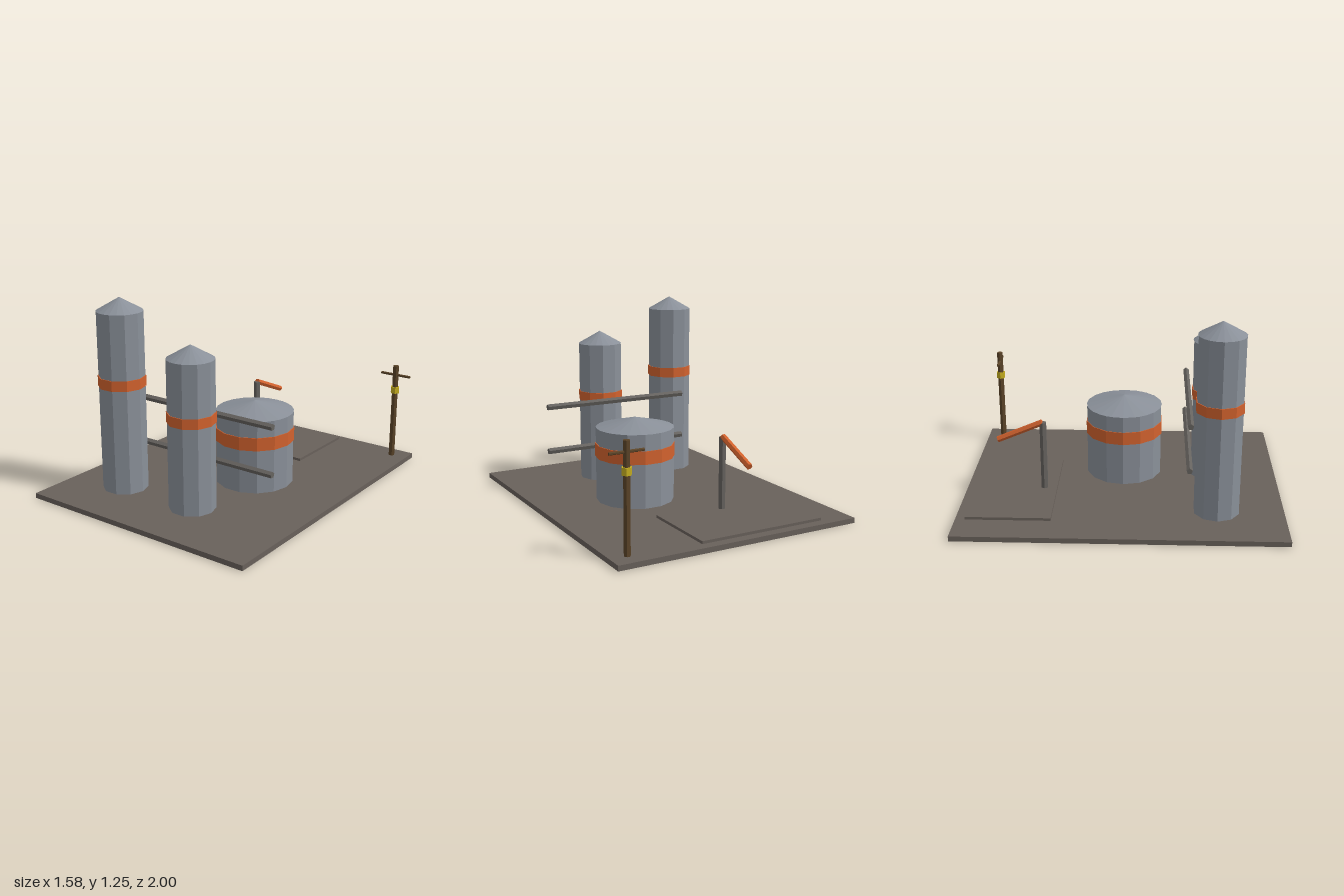
import * as THREE from 'three';

const paint = (name, color) => {
  const m = new THREE.MeshStandardMaterial({ color, flatShading: true });
  m.name = name;
  return m;
};

export function createModel() {
  const ground = paint('ground brown', 0x69615b);
  const steel = paint('steel grey', 0x8a9099);
  const orange = paint('safety orange', 0xd2622e);
  const iron = paint('dark iron', 0x66635f);
  const wood = paint('pole brown', 0x5b4428);
  const yellow = paint('lamp yellow', 0xc8b020);

  const model = new THREE.Group();
  model.name = 'industrialYard';

  const add = (parent, name, geometry, material, x, y, z) => {
    const mesh = new THREE.Mesh(geometry, material);
    mesh.name = name;
    mesh.position.set(x, y, z);
    parent.add(mesh);
    return mesh;
  };
  // box standing from y0 to y1
  const slab = (name, material, w, d, x, z, y0, y1) =>
    add(model, name, new THREE.BoxGeometry(w, y1 - y0, d), material, x, (y0 + y1) / 2, z);
  // upright prism from y0 to y1 with one corner towards +x
  const column = (parent, name, material, r, sides, x, z, y0, y1, rTop = r) =>
    add(parent, name, new THREE.CylinderGeometry(rTop, r, y1 - y0, sides).rotateY(Math.PI / 2),
      material, x, (y0 + y1) / 2, z);
  // rod between two points
  const rod = (name, material, r, sides, from, to) => {
    const a = new THREE.Vector3(...from), b = new THREE.Vector3(...to);
    const dir = b.clone().sub(a);
    const mesh = add(model, name,
      new THREE.CylinderGeometry(r, r, dir.length(), sides).rotateY(Math.PI / 2), material, 0, 0, 0);
    mesh.position.copy(a).add(b).multiplyScalar(0.5);
    mesh.quaternion.setFromUnitVectors(new THREE.Vector3(0, 1, 0), dir.normalize());
    return mesh;
  };

  // yard slab and the pump's footing
  slab('groundSlab', ground, 1.58, 2, 0, 0, 0.001, 0.033);
  slab('pumpFooting', ground, 0.827, 0.52, -0.171, -0.68, 0.03, 0.05);

  // storage vessels: body, orange band and conical roof
  const vessels = [
    { name: 'tallTower', x: -0.418, z: 0.583, r: 0.143, sides: 10, top: 1.165, apex: 1.247, band: [0.698, 0.763] },
    { name: 'shortTower', x: 0.121, z: 0.583, r: 0.143, sides: 10, top: 0.957, apex: 1.039, band: [0.574, 0.636] },
    { name: 'wideTank', x: 0.163, z: 0, r: 0.247, sides: 14, top: 0.5, apex: 0.562, band: [0.313, 0.397] },
  ];
  for (const v of vessels) {
    const group = new THREE.Group();
    group.name = v.name;
    model.add(group);
    column(group, 'body', steel, v.r, v.sides, v.x, v.z, 0, v.top);
    column(group, 'band', orange, v.r + 0.005, v.sides, v.x, v.z, ...v.band);
    column(group, 'roof', steel, v.r, 20, v.x, v.z, v.top, v.apex, 0);
  }

  // horizontal pipes behind the towers
  for (const y of [0.587, 0.295])
    rod('pipe', iron, 0.02, 5, [0.58, y, 0.415], [-0.42, y, 0.415]);

  // pump post with its sloping arm
  column(model, 'pumpPost', iron, 0.023, 6, -0.17, -0.5, 0.04, 0.5);
  rod('pumpArm', orange, 0.02, 6, [-0.17, 0.5, -0.503], [-0.17, 0.38, -0.787]);

  // utility pole with crossbar and collar
  column(model, 'utilityPole', wood, 0.021, 6, 0.684, -0.897, 0.02, 0.667);
  rod('crossbar', wood, 0.009, 6, [0.58, 0.604, -0.897], [0.788, 0.604, -0.897]);
  column(model, 'poleCollar', yellow, 0.03, 6, 0.684, -0.897, 0.479, 0.522);

  return model;
}
